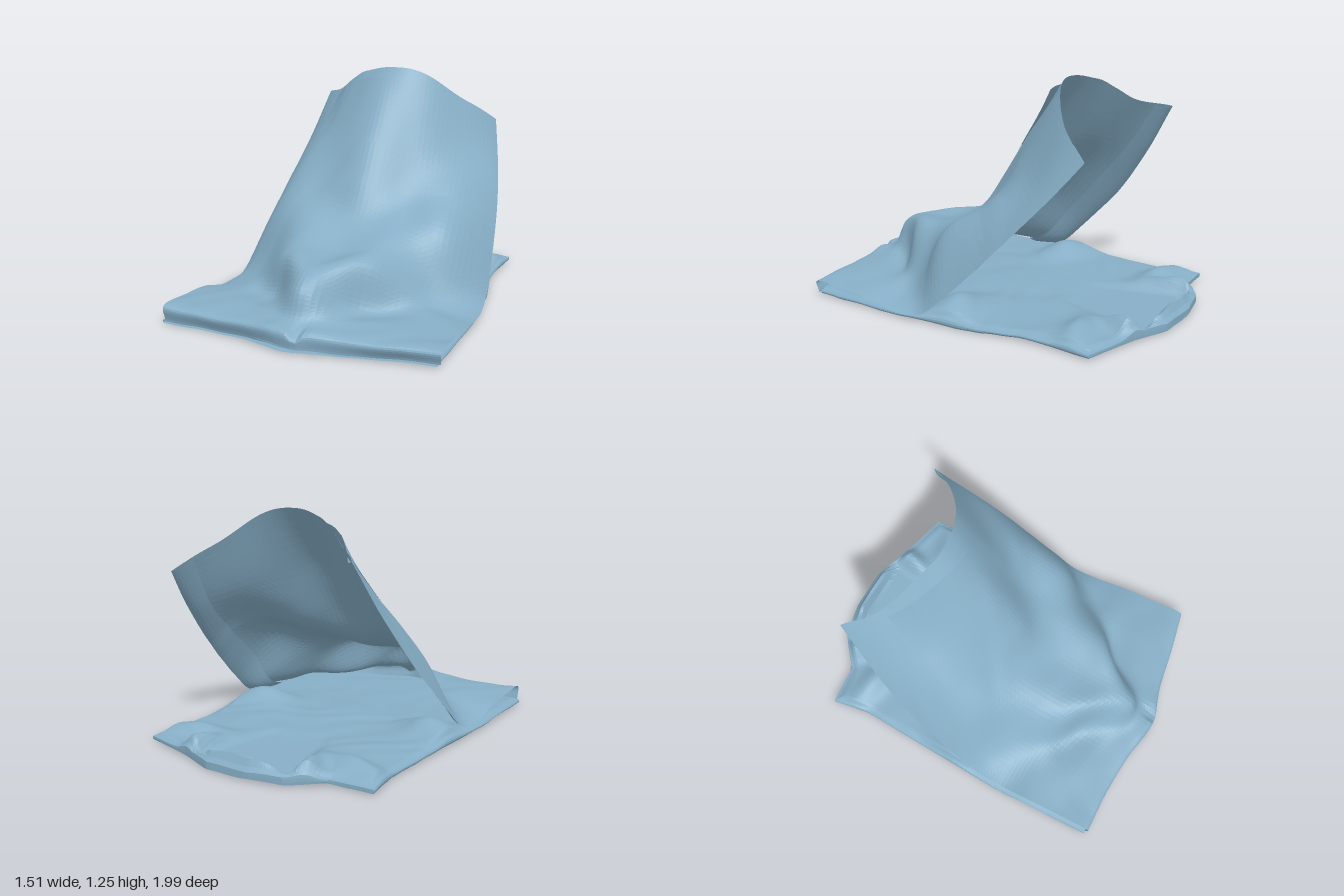
import * as THREE from 'three';

const material = new THREE.MeshStandardMaterial({ color: 0x86aec6, flatShading: true, side: THREE.DoubleSide });

// Grid surface from a rule f(a, b) -> [x, y, z], a and b in 0..1
function sheet(name, na, nb, f) {
  const pos = [], idx = [];
  for (let j = 0; j <= nb; j++) for (let i = 0; i <= na; i++) pos.push(...f(i / na, j / nb));
  for (let j = 0; j < nb; j++) for (let i = 0; i < na; i++) {
    const p = j * (na + 1) + i, q = p + na + 1;
    idx.push(p, p + 1, q + 1, p, q + 1, q);
  }
  const g = new THREE.BufferGeometry();
  g.setAttribute('position', new THREE.Float32BufferAttribute(pos, 3));
  g.setIndex(idx);
  g.computeVertexNormals();
  const mesh = new THREE.Mesh(g, material);
  mesh.name = name;
  return mesh;
}

// Smooth interpolation through evenly spaced values
function spline(v, t) {
  const n = v.length - 1, k = Math.min(Math.floor(t * n), n - 1), f = t * n - k;
  const p1 = v[k], p2 = v[k + 1], p0 = k > 0 ? v[k - 1] : 2 * p1 - p2, p3 = k + 2 <= n ? v[k + 2] : 2 * p2 - p1;
  return p1 + 0.5 * f * (p2 - p0 + f * (2 * p0 - 5 * p1 + 4 * p2 - p3 + f * (3 * (p1 - p2) + p3 - p0)));
}

// Straight interpolation through [x, y] pairs
function polyline(pts, x) {
  if (x <= pts[0][0]) return pts[0][1];
  for (let i = 1; i < pts.length; i++) if (x <= pts[i][0]) {
    const [a, b] = [pts[i - 1], pts[i]];
    return b[1] + (a[1] - b[1]) * (b[0] - x) / (b[0] - a[0]);
  }
  return pts[pts.length - 1][1];
}

const { smoothstep, lerp } = THREE.MathUtils;
const gauss = (d, w) => Math.exp(-(d * d) / (w * w));

// Irregular cloth unevenness, about -1..1
function ripple(x, z) {
  const u = x + 0.12 * Math.sin(5.3 * z + 1) + 0.05 * Math.sin(13 * z + 4 * x);
  const w = z + 0.1 * Math.sin(4.1 * x + 2) + 0.05 * Math.sin(11 * x - 6 * z);
  return 0.5 * Math.sin(7 * u + 3 * w) + 0.3 * Math.sin(13 * w - 8 * u + 1) + 0.2 * Math.sin(23 * u + 17 * w);
}

// Front panel cross-sections from hem to top edge, each running from -x to +x
const halfWidth = [0.74, 0.745, 0.745, 0.745, 0.74, 0.73, 0.715, 0.67, 0.61, 0.54];
const panelY = [
  [0.03, 0.03, 0.03, 0.04, 0.03, 0.03, 0.03],
  [0.12, 0.11, 0.11, 0.12, 0.11, 0.1, 0.1],
  [0.11, 0.13, 0.13, 0.15, 0.13, 0.12, 0.09],
  [0.09, 0.13, 0.15, 0.28, 0.14, 0.12, 0.075],
  [0.05, 0.16, 0.33, 0.35, 0.34, 0.14, 0.045],
  [0.06, 0.26, 0.4, 0.36, 0.4, 0.23, 0.055],
  [0.2, 0.46, 0.51, 0.47, 0.48, 0.44, 0.19],
  [0.48, 0.64, 0.66, 0.67, 0.61, 0.6, 0.47],
  [0.75, 0.85, 0.91, 0.94, 0.87, 0.78, 0.7],
  [1.05, 1.1, 1.22, 1.26, 1.22, 1.07, 0.93],
];
const panelZ = [
  [0.89, 0.89, 0.92, 0.98, 0.93, 0.89, 0.86],
  [0.89, 0.9, 0.93, 0.98, 0.93, 0.9, 0.86],
  [0.68, 0.72, 0.78, 0.88, 0.78, 0.7, 0.66],
  [0.5, 0.52, 0.61, 0.82, 0.62, 0.5, 0.48],
  [0.32, 0.36, 0.53, 0.68, 0.54, 0.37, 0.3],
  [0.15, 0.22, 0.35, 0.44, 0.36, 0.26, 0.13],
  [-0.02, 0.07, 0.15, 0.21, 0.16, 0.13, -0.03],
  [-0.3, -0.1, 0, 0.07, -0.02, -0.12, -0.32],
  [-0.5, -0.32, -0.18, -0.11, -0.19, -0.35, -0.54],
  [-0.69, -0.53, -0.42, -0.36, -0.4, -0.53, -0.73],
];
function panel(a, b) {
  const s = 2 * a - 1, wrap = 0.1 * smoothstep(b, 0.4, 0.7); // sides turn back more steeply higher up
  const x = 0.01 + 0.03 * b + (s + wrap * (s - s ** 5)) * spline(halfWidth, b);
  const y = spline(panelY.map(r => spline(r, a)), b), z = spline(panelZ.map(r => spline(r, a)), b);
  const notch = gauss(x - 0.06, 0.03) * gauss(b - 0.12, 0.06); // pinch in the middle of the hem
  return [x, Math.max(0.012, y + 0.007 * ripple(x, z) - 0.04 * notch), z + 0.01 * gauss(x - 0.06, 0.05) * gauss(b, 0.12)];
}

// Outline of the sheet on the ground
const backEdge = [[-0.7, -0.82], [-0.47, -0.83], [-0.38, -0.9], [-0.3, -0.96], [-0.1, -1], [0.15, -0.99], [0.35, -0.91], [0.5, -0.87], [0.67, -0.82]];
const leftEdge = [[-0.82, 0.67], [-0.6, 0.65], [-0.4, 0.65], [-0.1, 0.71], [0.3, 0.745], [0.86, 0.73]];
const rightEdge = [[-0.82, -0.7], [-0.6, -0.67], [-0.1, -0.71], [0.3, -0.74], [0.88, -0.74]];
function ground(a, b) {
  const zs = -0.82 + 1.7 * b;
  const x = lerp(polyline(rightEdge, zs), polyline(leftEdge, zs), a);
  const back = polyline(backEdge, x), front = spline(panelZ[0], a);
  return [x, back + (front - back) * b];
}
function underside(a, b) {
  const [x, z] = ground(a, b);
  return [x, 0.018 + 0.007 * ripple(x, z), z];
}
// Upper layer: slack folds, raised neckband and the tapering neck opening
function upperLayer(a, b) {
  const [x, z] = ground(a, b);
  const neckHalf = 0.18 + 0.24 * (-z - 0.4), fromNeck = Math.abs(x + 0.01) - neckHalf;
  const inNeck = smoothstep(-fromNeck, -0.03, 0.05) * smoothstep(z, -0.95, -0.9) * smoothstep(-z, 0.3, 0.5);
  let y = 0.05 + 0.01 * ripple(x, z);
  y += 0.08 * gauss(z - 0.02 + 0.15 * (Math.abs(x) - 0.55), 0.13) * gauss(Math.abs(x) - 0.56, 0.17);
  y += 0.05 * gauss(z + 0.66 + 0.2 * (Math.abs(x) - 0.5), 0.08) * gauss(Math.abs(x) - 0.5, 0.2);
  y += 0.07 * gauss(fromNeck - 0.06, 0.06) * gauss(z + 0.84, 0.15);
  y += 0.08 * gauss(z + 0.95, 0.06) * gauss(x, 0.38);
  y = lerp(y, 0.035, inNeck);
  y = lerp(y, 0.045 + 0.006 * ripple(x, z), smoothstep(z, 0.1, 0.35));
  const edge = smoothstep(Math.min(a, 1 - a, b), 0, 0.03);
  return [x, lerp(0.03 + 0.4 * (y - 0.03), y, edge), z];
}

export function createModel() {
  const model = new THREE.Group();
  model.name = 'clothGarment';

  // Lifted front panel with its hem
  model.add(sheet('frontPanel', 52, 64, panel));

  // Turned-back facings down both side edges of the panel
  for (const side of [-1, 1]) {
    model.add(sheet(side < 0 ? 'rightFacing' : 'leftFacing', 6, 44, (w, t) => {
      const [x, y, z] = panel(0.5 + side * 0.5 * (1 - 0.17 * w), 0.45 + 0.55 * t);
      const d = 0.03 * Math.sin(Math.PI * w * 0.85);
      return [x, Math.max(0.015, y - 0.7 * d), z - 0.7 * d];
    }));
  }

  // Chest pocket, open along its top
  model.add(sheet('pocket', 20, 16, (a, b) => {
    const [x, y, z] = panel(0.17 + 0.4 * a, lerp(0.86, 0.984 - 0.012 * a, b));
    const d = 0.004 + 0.036 * b * b * Math.min(1, 5 * a);
    return [x, y + 0.5 * d, z + 0.85 * d];
  }));

  // Back panel on the ground: underside, upper layer and closing rim
  model.add(sheet('backUnderside', 36, 46, underside));
  model.add(sheet('backUpperLayer', 90, 100, upperLayer));
  model.add(sheet('backRim', 160, 3, (t, h) => {
    // Walk down one side, along the back and up the other side
    const s = t * 4;
    const at = s < 1.5 ? [0, 1 - s / 1.5] : s < 2.5 ? [s - 1.5, 0] : [1, (s - 2.5) / 1.5];
    const [x, top, z] = upperLayer(...at), base = underside(...at)[1];
    return [x * (1 + 0.008 * Math.sin(Math.PI * h)), lerp(base, top, h), z];
  }));

  return model;
}
